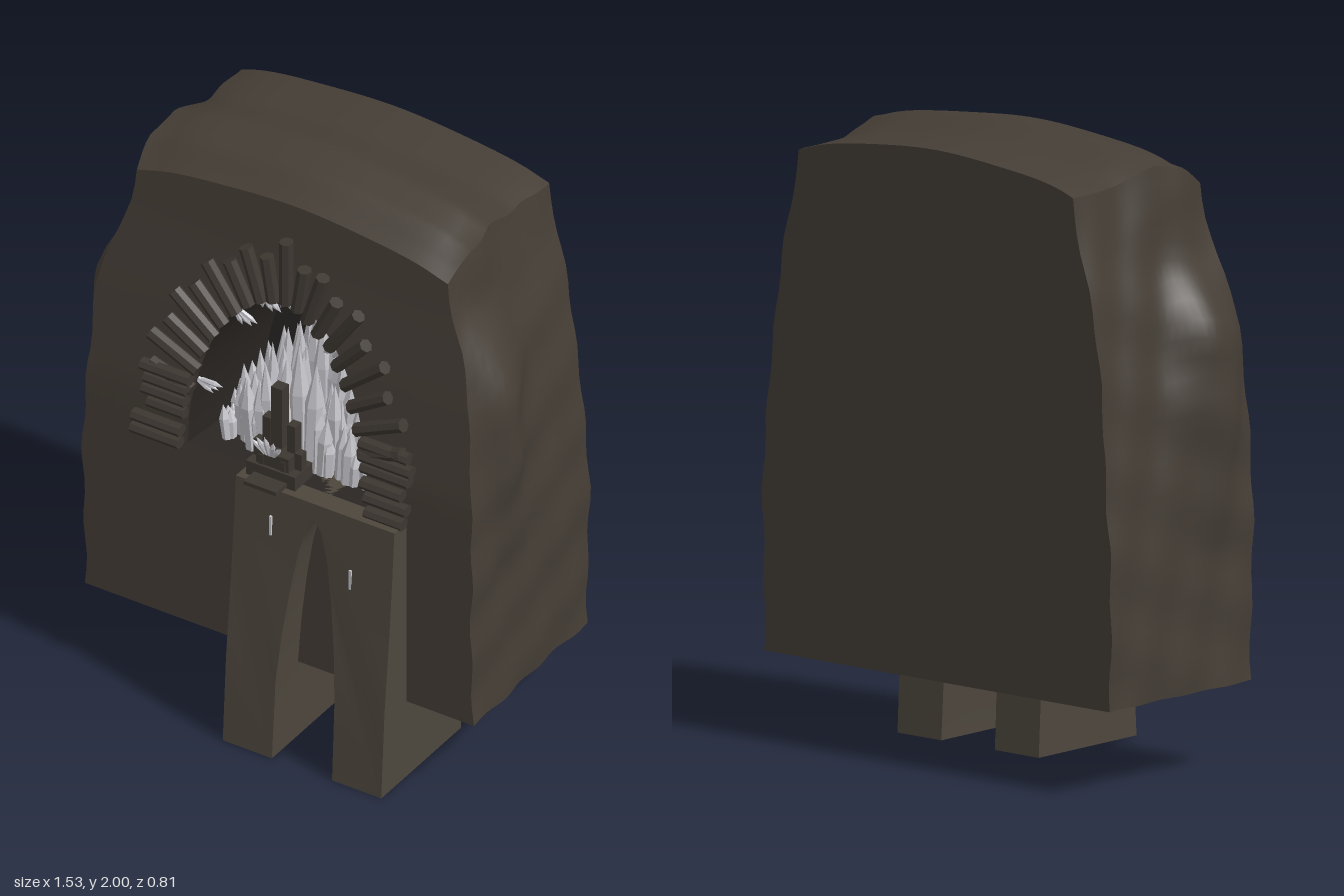
import * as THREE from 'three';
import { toCreasedNormals } from 'three/addons/utils/BufferGeometryUtils.js';

const mat = (name, color) => Object.assign(new THREE.MeshStandardMaterial({ color }), { name });
const { lerp } = THREE.MathUtils;

// Piecewise linear lookup in [key, value] pairs with rising keys
function table(pairs, k) {
  if (k <= pairs[0][0]) return pairs[0][1];
  for (let i = 1; i < pairs.length; i++) {
    const [a, va] = pairs[i - 1], [b, vb] = pairs[i];
    if (k <= b) return lerp(va, vb, (k - a) / (b - a));
  }
  return pairs[pairs.length - 1][1];
}

function seeded(seed) {
  return () => (seed = (seed * 16807) % 2147483647) / 2147483647;
}

// Skin a list of closed rings holding equal numbers of points
function loft(rings, crease) {
  const n = rings[0].length, index = [];
  for (let i = 0; i < rings.length - 1; i++) {
    for (let j = 0; j < n; j++) {
      const k = (j + 1) % n, a = i * n, b = a + n;
      index.push(a + j, b + j, b + k, a + j, b + k, a + k);
    }
  }
  const g = new THREE.BufferGeometry();
  g.setAttribute('position', new THREE.Float32BufferAttribute(rings.flat(2), 3));
  g.setIndex(index);
  return toCreasedNormals(g, crease);
}

// Rock shape rules: front depth, half width and top height
const frontZ = y => table([[0.28, 0.26], [1.1, 0.26], [1.45, 0.225], [1.7, 0.19], [1.95, 0.17]], y);
const bell = (v, c, w) => Math.exp(-(((v - c) / w) ** 2));
function halfWidth(y, z, side) {
  const base = table([[0.28, 0.71], [0.8, 0.71], [1.2, 0.685], [1.5, 0.645], [1.7, 0.605], [1.95, 0.55]], y);
  const yb = side > 0 ? y - 0.07 : y;
  const bulge = table([[0.7, 0], [0.95, 0.04], [1.2, 0.085], [1.4, 0.1], [1.52, 0.06], [1.62, 0]], yb) * bell(z, 0.08, 0.13);
  const lip = 0.05 * bell(y, 1.84, 0.07) * bell(z, 0.02, 0.13);
  const rough = 0.005 * (Math.sin(23 * y + 9 * z) + Math.sin(31 * z - 7 * y + side));
  return base + bulge + lip + rough;
}
const topY = (x, z) => table([[-0.4, 1.95], [-0.2, 1.955], [-0.05, 2], [0.08, 1.975], [0.17, 1.91]], z)
  - 0.07 * Math.min(1, (x / 0.56) ** 4) + 0.008 * Math.sin(9 * x + 1.5) - 0.008;

const NB = 14, NS = 28;
// Outer outline at depth s, 0 at the front and 1 at the back
function outline(s) {
  const zAt = y => lerp(frontZ(y), -0.4, s), pts = [];
  const zTop = zAt(1.95), wr = halfWidth(1.9, zTop, 1), wl = halfWidth(1.9, zTop, -1);
  const flank = (t, side) => {
    const y = lerp(0.28, topY(0.56 * side, zTop), t);
    return [side * lerp(halfWidth(y, zAt(y), side), side > 0 ? wr : wl, t ** 12), y, zAt(y)];
  };
  const wb = halfWidth(0.28, zAt(0.28), 1), wa = halfWidth(0.28, zAt(0.28), -1);
  for (let i = 0; i < NB; i++) pts.push([lerp(-wa, wb, i / NB), 0.28, zAt(0.28)]);
  for (let i = 0; i < NS; i++) pts.push(flank(i / NS, 1));
  for (let i = 0; i < NS; i++) {
    const x = lerp(wr, -wl, i / NS);
    pts.push([x, topY(x, zTop), zTop]);
  }
  for (let i = 0; i < NS; i++) pts.push(flank(1 - i / NS, -1));
  return pts;
}

// Cave mouth outline, matching the outer outline point for point
const archAt = a => [0.33 * Math.cos(a), 0.95 + 0.63 * Math.sin(a)];
function arch(scale, zRule) {
  const pts = [];
  for (let i = 0; i < NB; i++) pts.push([lerp(-0.33, 0.33, i / NB), 0.95]);
  for (let i = 0; i < 3 * NS; i++) pts.push(archAt(Math.PI * i / (3 * NS)));
  return pts.map(([x, y]) => {
    const yy = 0.95 + (y - 0.95) * scale;
    return [x * scale, yy, zRule(yy)];
  });
}

export function createModel() {
  const model = new THREE.Group();
  const rock = mat('dark brown rock', 0x453e36), stone = mat('bridge stone', 0x4d463d);
  const wood = mat('dark timber', 0x3d3731), hollow = mat('cave shadow rock', 0x2a2623);
  const crystal = mat('pale crystal', 0xc4c4ca);
  const rand = seeded(71);
  const add = (parent, name, geo, m, x = 0, y = 0, z = 0) => {
    const mesh = new THREE.Mesh(geo, m);
    mesh.name = name;
    mesh.position.set(x, y, z);
    parent.add(mesh);
    return mesh;
  };
  const group = name => {
    const g = new THREE.Group();
    g.name = name;
    model.add(g);
    return g;
  };

  // Rock mass: front wall around the cave mouth, flanks and top, flat back
  const mouth = arch(1, frontZ), edge = outline(0), rings = [];
  for (let i = 0; i <= 8; i++) {
    rings.push(mouth.map((p, j) => {
      const y = lerp(p[1], edge[j][1], i / 8);
      return [lerp(p[0], edge[j][0], i / 8), y, frontZ(y)];
    }));
  }
  for (let i = 1; i <= 24; i++) rings.push(outline(i / 24));
  rings.push(edge.map(() => [0, 1.15, -0.4]));
  add(model, 'rockBody', loft(rings, 0.7), rock);

  // Cave hollow
  const back = arch(0.9, () => -0.12);
  add(model, 'caveHollow', loft([back.map(() => [0, 1.2, -0.12]), back, mouth], 0.6), hollow);

  // Bridge with two legs and a pointed arch, flared towards the ground
  const half = [[0.07, 0], [0.072, 0.28], [0.085, 0.45], [0.105, 0.62], [0.13, 0.77], [0.155, 0.86], [0.18, 0.895]];
  const right = half.slice(0, -1).reverse().map(([x, y]) => [0.36 - x, y]);
  const outerY = [0, 0.15, 0.3, 0.45, 0.6, 0.75, 0.95];
  const pts = [...half, ...right, ...outerY.map(y => [0.47, y]), ...outerY.reverse().map(y => [-0.11, y])];
  const bridge = new THREE.ExtrudeGeometry(new THREE.Shape(pts.map(p => new THREE.Vector2(...p))),
    { depth: 1, bevelEnabled: false });
  const bp = bridge.attributes.position;
  for (let i = 0; i < bp.count; i++) {
    const y = bp.getY(i);
    const f = table([[0, 0.405], [0.3, 0.387], [0.65, 0.352], [0.95, 0.33]], y);
    const b = table([[0, -0.05], [0.3, -0.035], [0.95, 0]], y);
    bp.setZ(i, lerp(b, f, bp.getZ(i)));
  }
  add(model, 'archedBridge', toCreasedNormals(bridge, 0.5), stone);

  // Timber posts fanned around the cave mouth
  const posts = group('timberFan');
  const postGeo = toCreasedNormals(new THREE.CylinderGeometry(0.5, 0.5, 1, 7), 0.3);
  const post = (x, y, angle, len, w) => {
    const cx = x + Math.cos(angle) * len / 2, cy = y + Math.sin(angle) * len / 2;
    const m = add(posts, 'timberPost', postGeo, wood, cx, cy, frontZ(cy) + 0.015 + 0.02 * rand());
    m.rotation.z = angle - Math.PI / 2;
    m.scale.set(w, len, 0.05);
  };
  for (let i = -9; i <= 9; i++) {
    const a = Math.PI / 2 - i * 0.135, [x, y] = archAt(a);
    const dir = Math.atan2(Math.sin(a) / 0.48, Math.cos(a) / 0.42);
    post(x, y - 0.01, dir, i === 0 ? 0.23 : i % 2 ? 0.16 : 0.19, 0.045);
  }
  for (const side of [-1, 1]) {
    [0.96, 1.01, 1.07, 1.12, 1.16, 1.2].forEach((y, i) =>
      post(side * (0.34 - 0.006 * i), y, side > 0 ? 0 : Math.PI, 0.13 + 0.06 * rand(), 0.04));
  }

  // Crystals: six-sided shafts with pointed tips
  const shaft = [[0, 0], [0.8, 0], [1, 0.62], [0, 1]].map(p => new THREE.Vector2(...p));
  const crystalGeo = toCreasedNormals(new THREE.LatheGeometry(shaft, 6), 0.3);
  const spike = (parent, x, y, z, r, h, tiltZ, tiltX = 0) => {
    const m = add(parent, 'crystal', crystalGeo, crystal, x, y, z);
    m.scale.set(r, h, r);
    m.rotation.set(tiltX, rand() * 3, tiltZ, 'XZY');
  };
  const heap = group('crystalHeap');
  for (let i = 0; i < 85; i++) {
    const x = lerp(-0.285, 0.285, (i + 0.5) / 85), k = 1 - Math.abs(x) / 0.31;
    const h = (0.05 + 0.53 * k ** 0.8) * (i % 3 ? 0.4 + 0.45 * rand() : 0.85 + 0.15 * rand());
    const z = lerp(0.18, -0.06, i % 3 ? 0.35 * rand() : 0.3 + 0.6 * rand());
    spike(heap, x * 0.95, 0.945, z, 0.013 + 0.03 * h + 0.008 * rand(), h, -x * 0.3 + 0.1 * (rand() - 0.5));
  }

  // Small crystals hanging from the rim
  const rim = group('rimCrystals');
  for (const a of [0.95, 1.25, 1.6, 1.85, 2.15, 2.75]) {
    const [x, y] = archAt(a);
    for (let k = -1; k <= 1; k++) {
      spike(rim, x + k * 0.012, y, frontZ(y) - 0.01, 0.009, 0.06 + 0.02 * rand(), a + Math.PI / 2 + k * 0.35, 0.3);
    }
  }

  // Shrine at the front of the ledge
  const shrine = group('shrine');
  const block = (name, x, y, z, w, h, d) => add(shrine, name, new THREE.BoxGeometry(w, h, d), wood, x, y + h / 2, z);
  block('shrineTray', 0, 0.955, 0.31, 0.12, 0.014, 0.11);
  block('shrineBase', 0, 0.95, 0.255, 0.18, 0.05, 0.1);
  block('shrineTable', 0, 1.0, 0.26, 0.12, 0.05, 0.07);
  block('shrineSpire', -0.01, 1.0, 0.235, 0.04, 0.27, 0.04);
  for (const s of [-1, 1]) {
    block('shrineSidePost', s * 0.045, 1.0, 0.24, 0.03, 0.15, 0.035);
    block('shrineOuterPost', s * 0.075, 0.95, 0.25, 0.025, 0.11, 0.03);
    block('shrineFrontPost', s * 0.04, 0.965, 0.29, 0.016, 0.07, 0.016);
  }
  for (let k = -2; k <= 2; k++) spike(shrine, k * 0.008 - 0.01, 1.045, 0.295, 0.009, 0.09 - 0.012 * Math.abs(k), -k * 0.3, 0.35);

  // Pale drips on the bridge legs
  for (const [x, y, z] of [[0.025, 0.82, 0.342], [0.32, 0.73, 0.347]]) {
    add(model, 'paleDrip', new THREE.BoxGeometry(0.008, 0.07, 0.008), crystal, x, y, z);
  }
  return model;
}
